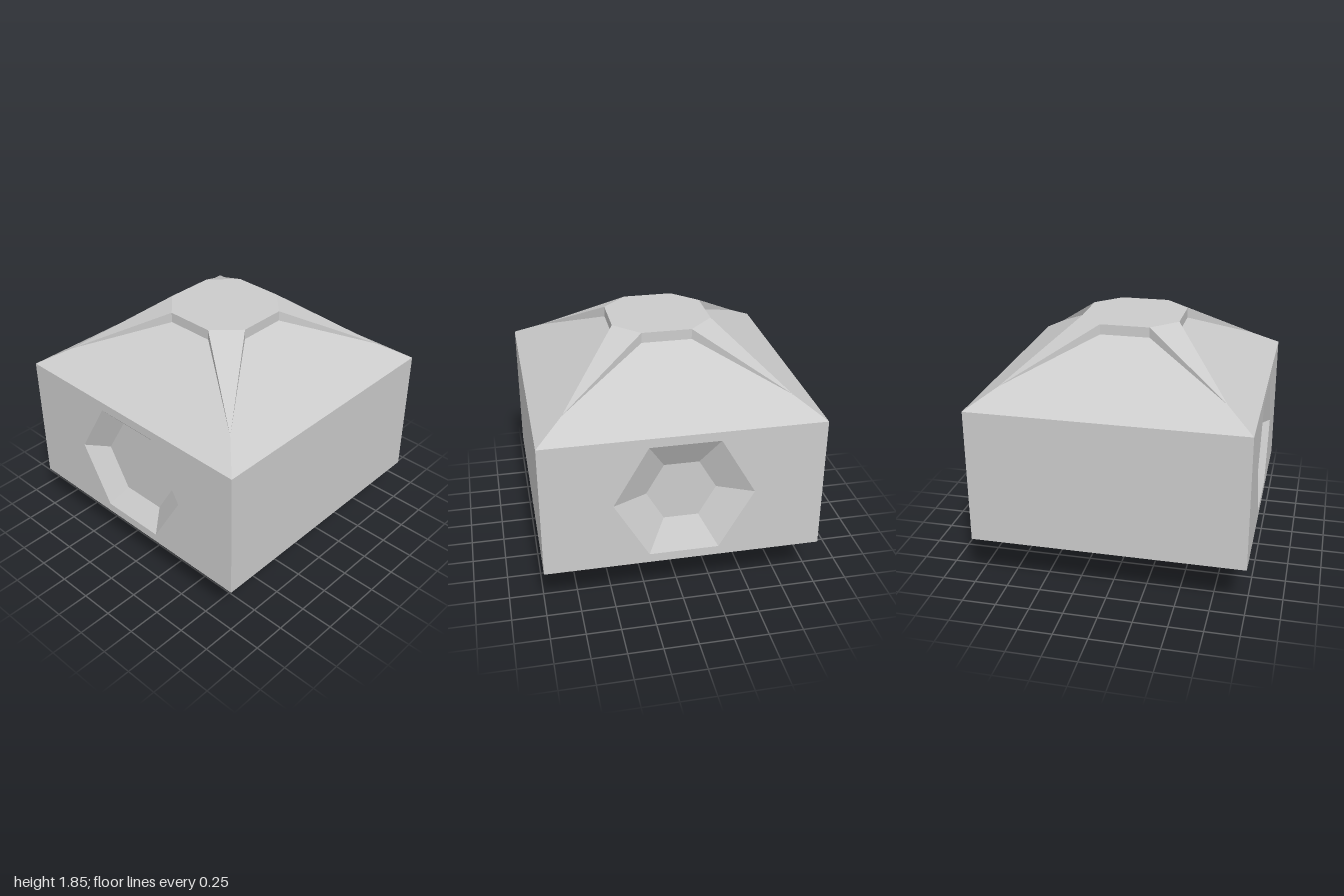
import * as THREE from 'three';

const MID = 0.865, LOW = 0.365, HIGH = 1.365, TOP = 1.85;
const CENTRE = [0, MID, 0];

// Flat mesh from convex polygons, each wound to face away from a reference point
function facets(name, polygons, ref = CENTRE) {
  const pos = [];
  const origin = new THREE.Vector3(...ref);
  for (const polygon of polygons) {
    const p = polygon.map((c) => new THREE.Vector3(...c));
    const normal = p[1].clone().sub(p[0]).cross(p[2].clone().sub(p[0]));
    const mid = p.reduce((a, v) => a.add(v), new THREE.Vector3()).divideScalar(p.length);
    if (normal.dot(mid.sub(origin)) < 0) p.reverse();
    for (let i = 1; i < p.length - 1; i++) {
      for (const v of [p[0], p[i], p[i + 1]]) pos.push(v.x, v.y, v.z);
    }
  }
  const geo = new THREE.BufferGeometry();
  geo.setAttribute('position', new THREE.Float32BufferAttribute(pos, 3));
  geo.computeVertexNormals();
  const mesh = new THREE.Mesh(geo, new THREE.MeshStandardMaterial({ color: 0xcccccc, flatShading: true }));
  mesh.name = name;
  return mesh;
}

// Turn a point about y by a number of quarter turns
function turn([x, y, z], quarters) {
  for (let i = 0; i < quarters; i++) [x, z] = [z, -x];
  return [x, y, z];
}
const aroundFour = (polygons) =>
  [0, 1, 2, 3].flatMap((q) => polygons.map((p) => p.map((c) => turn(c, q))));

// Corner k of a hexagon
const hex = (r, k) => [r * Math.cos((k * Math.PI) / 3), r * Math.sin((k * Math.PI) / 3)];
const SIX = [0, 1, 2, 3, 4, 5];

// Upright wall with a six-sided recess that tapers to a flat floor
function recessedWall(name, innerRadius, depth) {
  const group = new THREE.Group();
  group.name = name;
  const shape = new THREE.Shape([[-1, LOW], [1, LOW], [1, HIGH], [-1, HIGH]].map((p) => new THREE.Vector2(...p)));
  const at = (r, k, z) => [hex(r, k % 6)[0], MID + hex(r, k % 6)[1], z];
  shape.holes.push(new THREE.Path(SIX.map((k) => new THREE.Vector2(...at(0.5, k, 0)))));
  const wall = new THREE.Mesh(
    new THREE.ShapeGeometry(shape),
    new THREE.MeshStandardMaterial({ color: 0xcccccc, flatShading: true })
  );
  wall.name = name + 'Panel';
  wall.position.z = 1;
  const sides = SIX.map((k) => [
    at(0.5, k, 1), at(0.5, k + 1, 1), at(innerRadius, k + 1, 1 - depth), at(innerRadius, k, 1 - depth)
  ]);
  const floor = SIX.map((k) => at(innerRadius, k, 1 - depth));
  group.add(wall, facets(name + 'Recess', [...sides, floor]));
  return group;
}

export function createModel() {
  const model = new THREE.Group();

  // Walls: recesses in front and back, plain sides
  const front = recessedWall('frontWall', 0.34, 0.12);
  const back = recessedWall('backWall', 0.25, 0.12);
  back.rotation.y = Math.PI;
  model.add(front, back);
  model.add(facets('sideWalls', [-1, 1].map((x) => [[x, LOW, -1], [x, LOW, 1], [x, HIGH, 1], [x, HIGH, -1]])));

  // Roof: sunken sloping panels ending at a small step below the cap
  const tip = 0.8, tipY = 1.493, a = 0.18, b = 0.36, stepY = 1.775;
  model.add(facets('roofPanels', aroundFour([
    [[-1, HIGH, 1], [1, HIGH, 1], [tip, tipY, tip], [-tip, tipY, tip]],
    [[-tip, tipY, tip], [tip, tipY, tip], [a, stepY, b], [-a, stepY, b]]
  ])));
  model.add(facets('capStep', aroundFour([[[-a, stepY, b], [a, stepY, b], [a, TOP, b], [-a, TOP, b]]])));

  // Raised ridges running from the cap to the corners
  model.add(facets('cornerRidges', aroundFour([
    [[a, TOP, b], [b, TOP, a], [tip, tipY, tip]],
    [[a, TOP, b], [a, stepY, b], [tip, tipY, tip]],
    [[b, TOP, a], [b, stepY, a], [tip, tipY, tip]]
  ])));
  const cap = [0, 1, 2, 3].flatMap((q) => [turn([-a, TOP, b], q), turn([a, TOP, b], q)]);
  model.add(facets('roofCap', [cap]));

  // Sloped rim under the front and sides
  const s = 0.8, rimY = 0.245;
  const rim = [[-1, LOW, 1], [1, LOW, 1], [s, rimY, s], [-s, rimY, s]];
  model.add(facets('lowerRim', [0, 1, 3].map((q) => rim.map((c) => turn(c, q)))));

  // Notch under the back edge with a triangular fin at each end
  model.add(facets('backNotch', [
    [[-1, LOW, -1], [1, LOW, -1], [s, LOW, -s], [-s, LOW, -s]],
    [[-s, LOW, -s], [s, LOW, -s], [s, rimY, -s], [-s, rimY, -s]]
  ]));
  for (const x of [-1, 1]) {
    model.add(facets(x > 0 ? 'leftNotchEnd' : 'rightNotchEnd',
      [[[x, LOW, -1], [x * s, LOW, -s], [x * s, rimY, -s]]], [x, 0.3, 0]));
  }

  // Faceted base narrowing from a square to a six-sided foot
  const foot = SIX.map((k) => [hex(0.4, k)[0], 0, hex(0.4, k)[1]]);
  const base = [foot];
  for (const m of [-1, 1]) {
    base.push([[m * s, rimY, -s], [m * s, rimY, s], [m * 0.4, 0, 0]]);
    base.push([[-s, rimY, m * s], [s, rimY, m * s], [0.2, 0, m * 0.346], [-0.2, 0, m * 0.346]]);
    for (const n of [-1, 1]) base.push([[m * s, rimY, n * s], [m * 0.4, 0, 0], [m * 0.2, 0, n * 0.346]]);
  }
  model.add(facets('base', base));

  return model;
}
